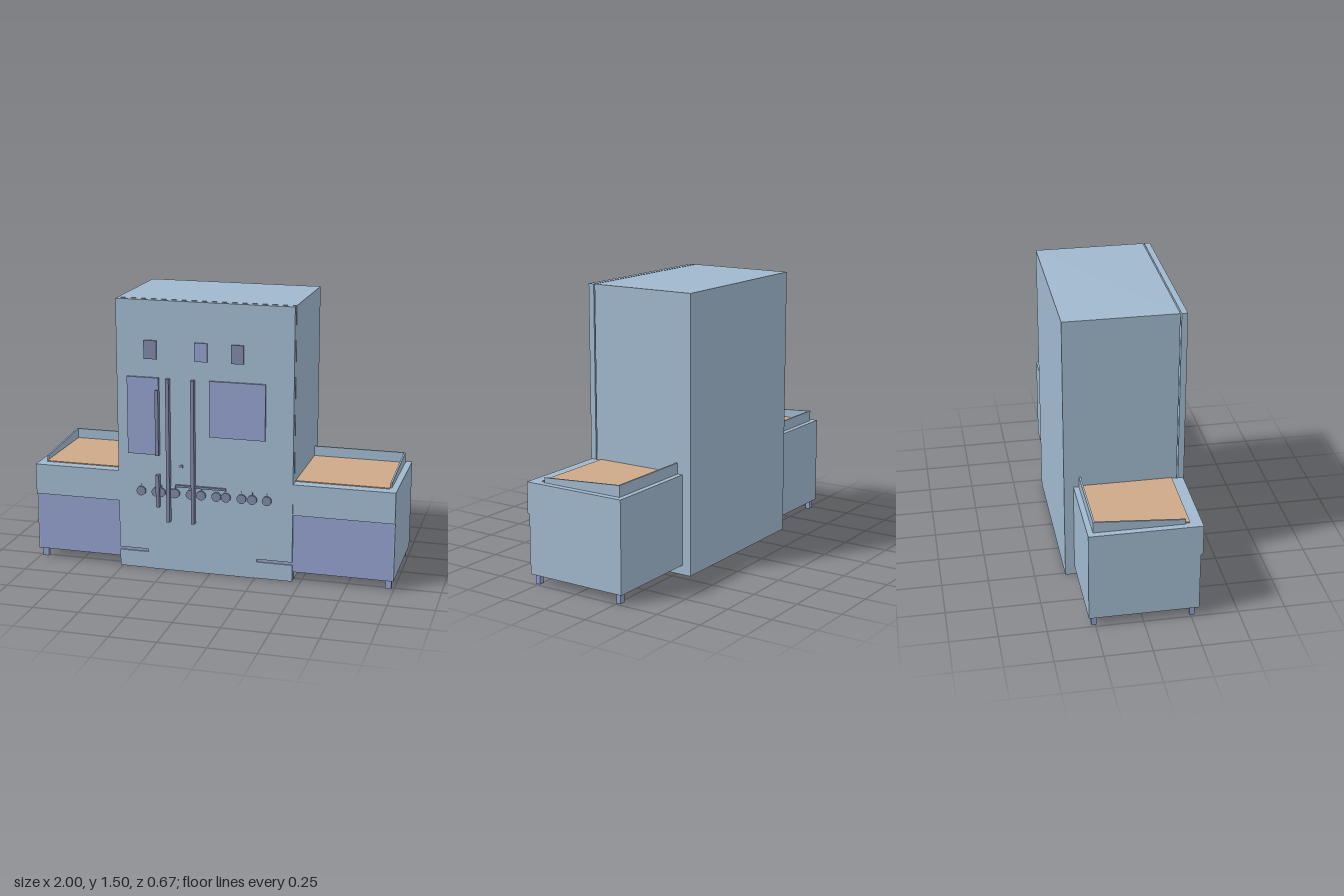
import * as THREE from 'three';

const mat = (name, color, side = THREE.FrontSide) => {
  const m = new THREE.MeshStandardMaterial({ color, side });
  m.name = name;
  return m;
};

export function createModel() {
  const blue = mat('steel blue', 0xa0b8ce);
  const violet = mat('soft violet', 0x929eca);
  const slate = mat('slate', 0x7e86a6);
  const tan = mat('tan', 0xcda888);
  const root = new THREE.Group();
  root.name = 'cabinetWithSideCounters';

  // Box given by its limits on each axis
  const box = (name, m, x0, x1, y0, y1, z0, z1, parent = root) => {
    const mesh = new THREE.Mesh(new THREE.BoxGeometry(Math.abs(x1 - x0), y1 - y0, z1 - z0), m);
    mesh.position.set((x0 + x1) / 2, (y0 + y1) / 2, (z0 + z1) / 2);
    mesh.name = name;
    parent.add(mesh);
    return mesh;
  };
  const L = -0.515, R = 0.455, H = 1.495, F = 0.305;

  // Tall cabinet and its front panel, notched at the two lower corners
  box('cabinetBody', blue, L, R, 0, H, -0.335, 0.266);
  box('cabinetBase', blue, L + 0.005, R - 0.005, 0, 0.05, 0.26, 0.28);
  const outline = new THREE.Shape([
    [L, 0.11], [-0.35, 0.11], [-0.35, 0], [0.26, 0], [0.26, 0.11], [R, 0.11], [R, H], [L, H],
  ].map(([x, y]) => new THREE.Vector2(x, y)));
  const panel = new THREE.Mesh(
    new THREE.ExtrudeGeometry(outline, { depth: F - 0.273, bevelEnabled: false }), blue);
  panel.position.z = 0.273;
  panel.name = 'frontPanel';
  root.add(panel);
  for (const [a, b] of [[L, -0.35], [0.26, R]]) {
    box('kickPlate', blue, a, b, 0, 0.092, 0.273, 0.301);
    box('kickGap', violet, a, b, 0.092, 0.11, 0.273, 0.294);
  }

  // Small gauges, display panels and the label tab
  box('gauge', slate, -0.36, -0.29, 1.18, 1.28, F, 0.316);
  box('gauge', violet, -0.08, -0.01, 1.18, 1.28, F, 0.316);
  box('gauge', slate, 0.118, 0.186, 1.18, 1.28, F, 0.316);
  box('displayPanel', violet, -0.455, -0.279, 0.655, 1.08, F, 0.318);
  box('displayPanel', violet, 0, 0.305, 0.775, 1.08, F, 0.318);
  box('tab', slate, -0.172, -0.15, 0.59, 0.606, F, 0.31);

  // Upright handles and the rail
  for (const [x, y0, y1, z] of [
    [-0.287, 0.655, 1.015, 0.333], [-0.227, 0.285, 1.08, 0.335],
    [-0.089, 0.285, 1.08, 0.335], [-0.287, 0.365, 0.545, 0.333],
  ]) box('handle', slate, x - 0.009, x + 0.009, y0, y1, F, z);
  box('rail', slate, -0.19, 0.09, 0.483, 0.495, F, 0.318);

  // Row of knobs with a pointer above each
  const knobGeo = new THREE.CylinderGeometry(0.026, 0.026, 0.012, 12).rotateX(Math.PI / 2);
  for (const x of [-0.385, -0.3, -0.273, -0.22, -0.193, -0.107, -0.048, 0.037, 0.09, 0.176, 0.235, 0.315]) {
    const knob = new THREE.Mesh(knobGeo, slate);
    knob.position.set(x, 0.445, F + 0.006);
    knob.name = 'knob';
    root.add(knob);
    box('knobPointer', slate, x - 0.003, x + 0.003, 0.468, 0.484, F, 0.311);
  }

  // Counters at both sides: hollow underneath, with a tray on top
  const counter = (name, s, inner) => {
    const g = new THREE.Group();
    g.name = name;
    root.add(g);
    const out = s, t = 0.006;
    const part = (n, m, a, b, ...rest) => box(n, m, Math.min(a, b), Math.max(a, b), ...rest, g);
    part('counterTop', blue, inner, out, 0.375, 0.545, -0.285, 0.302);
    part('sideWall', blue, out - s * t, out, 0.052, 0.375, -0.285, 0.291);
    part('backWall', blue, inner, out - s * t, 0.052, 0.375, -0.285, -0.279);
    part('frontDoor', violet, inner, out - s * t, 0.052, 0.375, 0.284, 0.291);
    part('traySurface', tan, inner, s * 0.957, 0.545, 0.55, -0.246, 0.24);
    part('trayBack', blue, inner, s * 0.966, 0.545, 0.605, -0.256, -0.246);
    // Sloping side of the tray: drawn along z, then turned across x
    const slope = new THREE.Shape([[0.246, 0.545], [0.246, 0.605], [-0.216, 0.572], [-0.216, 0.545]]
      .map(([x, y]) => new THREE.Vector2(x, y)));
    const geo = new THREE.ExtrudeGeometry(slope, { depth: 0.009, bevelEnabled: false });
    const wall = new THREE.Mesh(geo.rotateY(Math.PI / 2), blue);
    wall.position.x = s > 0 ? 0.957 : -0.966;
    wall.name = 'traySide';
    g.add(wall);
    for (const z of [0.257, -0.257])
      part('leg', violet, s * 0.954, s * 0.986, 0, 0.075, z - 0.013, z + 0.013);
  };
  counter('leftCounter', 1, R);
  counter('rightCounter', -1, L);
  return root;
}
